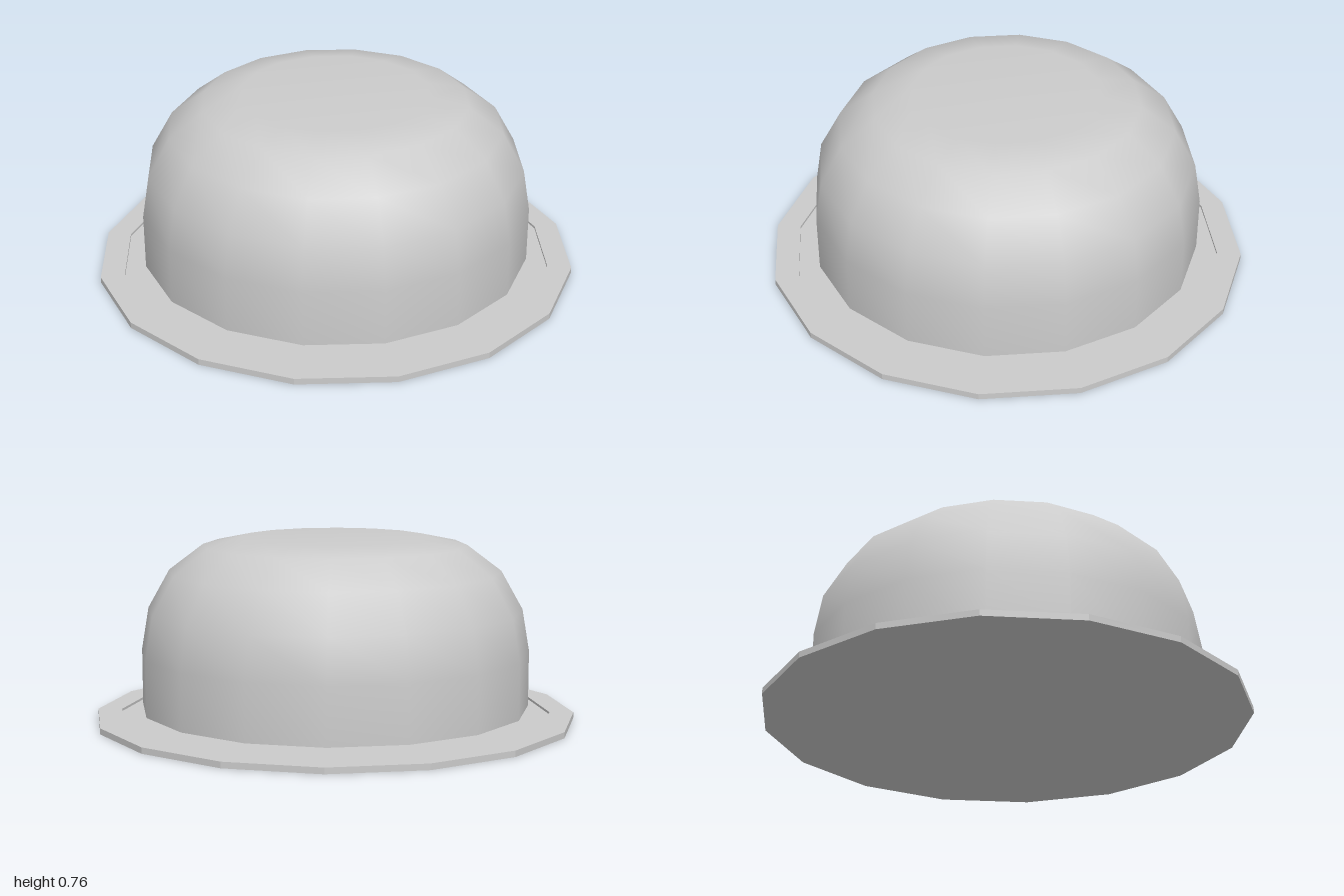
import * as THREE from 'three';

const SIDES = 16;

// Revolve a [radius, height] profile, listed from the bottom axis outward and up
function revolve(name, profile, flatShading) {
  const points = profile.map(([r, y]) => new THREE.Vector2(r, y));
  const material = new THREE.MeshStandardMaterial({ color: 0xcccccc, flatShading });
  const mesh = new THREE.Mesh(new THREE.LatheGeometry(points, SIDES), material);
  mesh.name = name;
  return mesh;
}

export function createModel() {
  const model = new THREE.Group();
  model.name = 'domedButton';

  // Thin plate with a raised rim around a shallow recess
  model.add(revolve('basePlate', [
    [0, 0], [1, 0], [1, 0.025], [0.9, 0.025], [0.9, 0.015], [0, 0.015],
  ], true));

  // Short foot carrying the dome just above the plate
  model.add(revolve('foot', [[0.5, 0.015], [0.5, 0.04]], true));

  // Slightly conical underside of the dome
  model.add(revolve('domeUnderside', [[0, 0.04], [0.5, 0.04], [0.81, 0.053]], true));

  // Smooth dome: straight wall, rounded shoulder, flat top
  model.add(revolve('dome', [
    [0.81, 0.053], [0.81, 0.285], [0.78, 0.46], [0.69, 0.62],
    [0.548, 0.727], [0.39, 0.76], [0, 0.76],
  ], false));

  return model;
}
